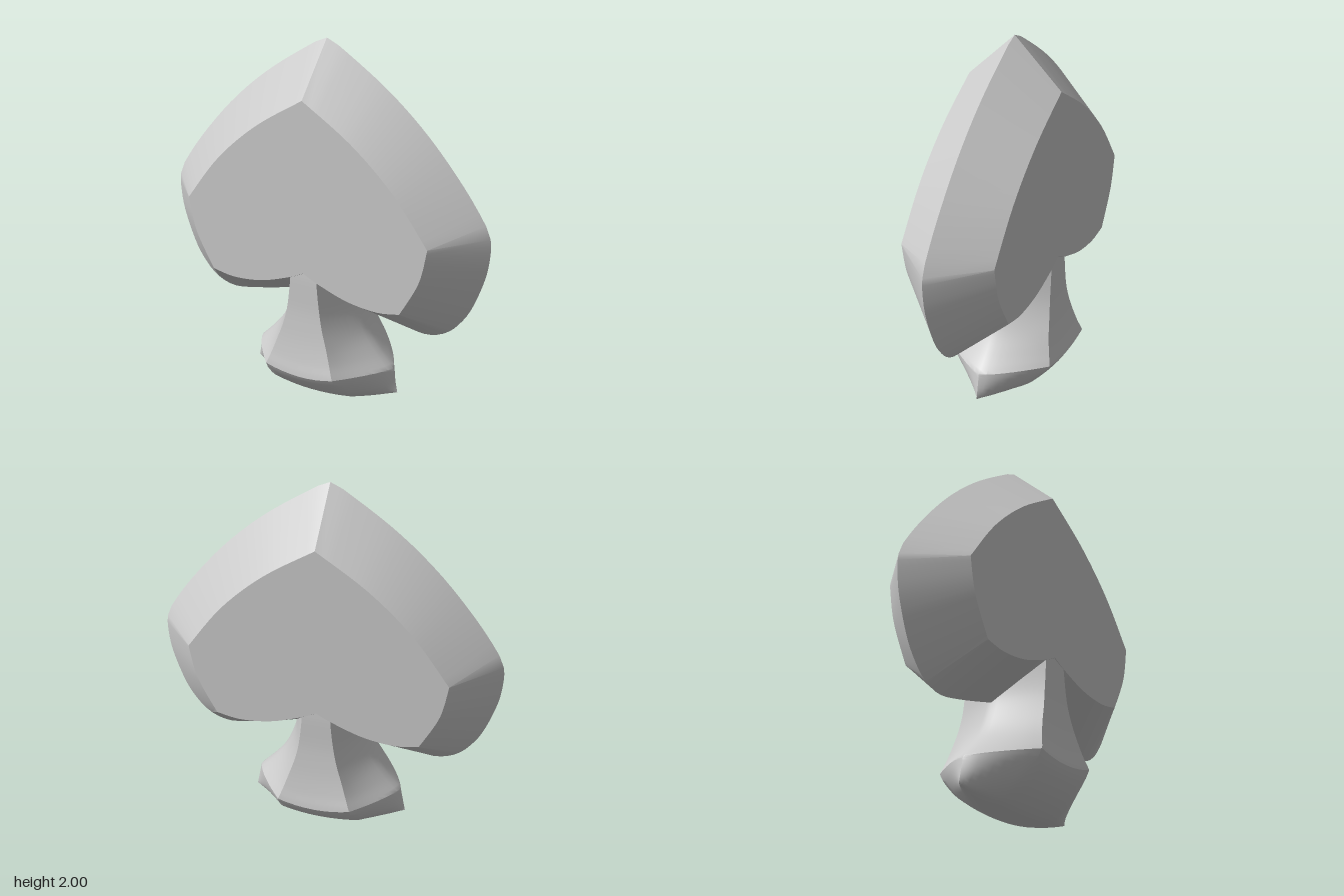
import * as THREE from 'three';
import { toCreasedNormals } from 'three/addons/utils/BufferGeometryUtils.js';

// Skin a list of closed rings (equal point counts) into a solid surface.
function loft(rings, crease) {
  const pos = [];
  const tri = (a, b, c) => {
    if (new THREE.Triangle(a, b, c).getArea() > 1e-8) {
      for (const p of [a, b, c]) pos.push(p.x, p.y, p.z);
    }
  };
  for (let i = 0; i < rings.length - 1; i++) {
    const r = rings[i], s = rings[i + 1], n = r.length;
    for (let j = 0; j < n; j++) {
      const k = (j + 1) % n;
      tri(r[j], r[k], s[j]);
      tri(r[k], s[k], s[j]);
    }
  }
  const geo = new THREE.BufferGeometry();
  geo.setAttribute('position', new THREE.Float32BufferAttribute(pos, 3));
  return toCreasedNormals(geo, crease);
}

const spline = (pts) => new THREE.SplineCurve(pts.map(([x, y]) => new THREE.Vector2(x, y)));

// Full outline from right-half curves running from the tip to the notch.
function outline(segments) {
  const half = [];
  for (const s of segments) half.push(...spline(s).getSpacedPoints(18).slice(0, -1));
  const [ex, ey] = segments.at(-1).at(-1);
  const mirrored = half.slice(1).reverse().map((p) => new THREE.Vector2(-p.x, p.y));
  return [...half, new THREE.Vector2(ex, ey), ...mirrored];
}

// Head: wide bevels from a central edge to flat front and back faces
function headGeometry() {
  const edge = outline([
    [[0, 2], [0.05, 1.98], [0.33, 1.79], [0.555, 1.59], [0.75, 1.365], [0.88, 1.18], [0.915, 1.1]],
    [[0.915, 1.1], [0.92, 1.03], [0.9, 0.88], [0.83, 0.68], [0.75, 0.56], [0.69, 0.51]],
    [[0.69, 0.51], [0.63, 0.485], [0.55, 0.48], [0.38, 0.515], [0.19, 0.565], [0, 0.62]],
  ]);
  const face = outline([
    [[0, 1.75], [0.27, 1.57], [0.5, 1.355], [0.69, 1.1]],
    [[0.69, 1.1], [0.65, 0.91], [0.55, 0.71]],
    [[0.55, 0.71], [0.42, 0.69], [0.25, 0.71], [0.08, 0.77], [0, 0.81]],
  ]);
  const at = (pts, z) => pts.map((p) => new THREE.Vector3(p.x, p.y, z));
  const centre = face.map(() => new THREE.Vector2(0, 1.1));
  return loft([at(centre, 0.26), at(face, 0.26), at(edge, 0), at(face, -0.26), at(centre, -0.26)], 0.45);
}

// One stem section: flat front and back, sides swelling to half width w at z = 0.
function section(y, a, w, d, lift) {
  const n = 8, front = [];
  const side = (t) => [a + (w - a) * (1 - t ** 1.3), t * d, t];
  for (let i = 0; i < n; i++) front.push(side(i / n));
  for (let i = 0; i <= n; i++) {
    const u = 1 - (2 * i) / n;
    front.push([a * u, d, u * u]);
  }
  for (let i = n - 1; i > 0; i--) {
    const [x, z, s] = side(i / n);
    front.push([-x, z, s]);
  }
  const pts = front.map(([x, z, s]) => new THREE.Vector3(x, y + lift * s, z));
  return [...pts, ...pts.map((p) => new THREE.Vector3(-p.x, p.y, -p.z))];
}

// Stem: flares down to a rim, then closes onto a curved bottom ridge
function stemGeometry() {
  const profile = new THREE.CatmullRomCurve3; // placeholder curve for half widths
  profile.points = [
    [0.075, 0.84, 0.18], [0.078, 0.76, 0.18], [0.095, 0.6, 0.185], [0.115, 0.5, 0.21],
    [0.145, 0.4, 0.255], [0.175, 0.3, 0.33], [0.2, 0.22, 0.405],
  ].map((p) => new THREE.Vector3(...p));
  const depth = spline([[0.84, 0.255], [0.76, 0.259], [0.6, 0.262], [0.5, 0.27], [0.4, 0.282], [0.3, 0.3], [0.22, 0.318]]);
  const rings = [];
  const steps = 24;
  for (let i = 0; i <= steps; i++) {
    const t = i / steps;
    const p = profile.getPoint(t);
    rings.push(section(p.y, p.x, p.z, depth.getPoint(t).y, 0.03 * t ** 3));
  }
  const rim = rings[steps];
  const fall = spline([[1, 1], [0.89, 0.76], [0.63, 0.38], [0.32, 0.09], [0.12, 0.012], [0, 0]]);
  for (let i = 1; i <= 14; i++) {
    const f = fall.getPoint(i / 14);
    rings.push(rim.map((p) => {
      const u = p.x / 0.405;
      const low = 0.075 * u * u;
      return new THREE.Vector3(p.x + 0.028 * u * (1 - f.y), low + (p.y - low) * f.y, p.z * f.x);
    }));
  }
  return loft(rings, 0.6);
}

export function createModel() {
  const group = new THREE.Group();
  group.name = 'spade';
  const material = new THREE.MeshStandardMaterial({ color: 0xcccccc });
  const add = (name, geometry) => {
    const mesh = new THREE.Mesh(geometry, material);
    mesh.name = name;
    group.add(mesh);
  };
  add('head', headGeometry());
  add('stem', stemGeometry());
  return group;
}
